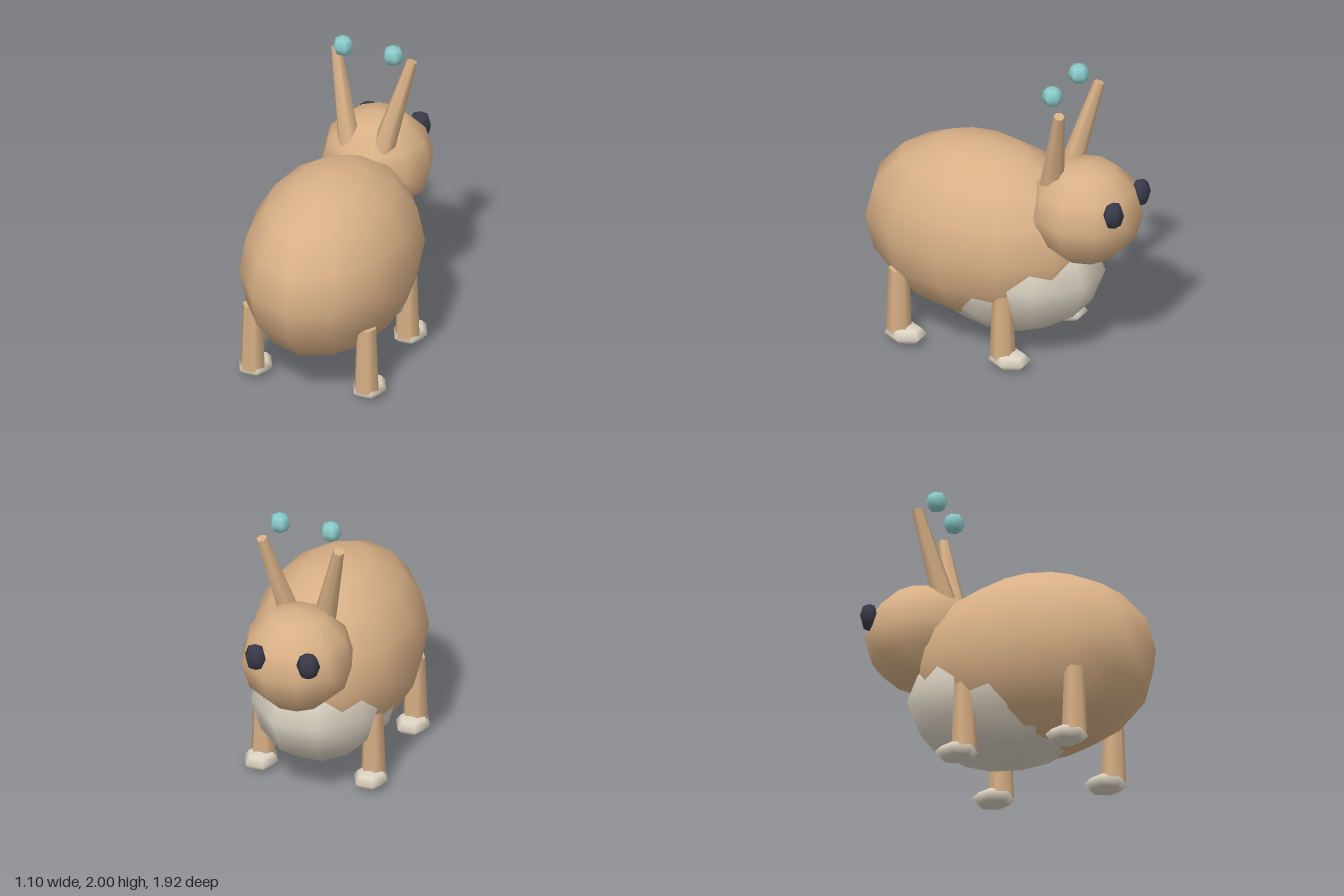
import * as THREE from 'three';

const material = (name, color) => {
  const m = new THREE.MeshStandardMaterial({ color });
  m.name = name;
  return m;
};

export function createModel() {
  const group = new THREE.Group();
  const tan = material('tan fur', 0xd8b086);
  const cream = material('cream', 0xdcd3c2);
  const dark = material('dark eye', 0x3a3a4a);
  const teal = material('teal glow', 0x8accca);

  // Coarse smooth-shaded ellipsoid
  const ellipsoid = (name, mat, pos, size, widthSegs, heightSegs, yaw = 0) => {
    const geo = new THREE.SphereGeometry(1, widthSegs, heightSegs);
    const mesh = new THREE.Mesh(geo, mat);
    mesh.name = name;
    mesh.position.set(...pos);
    mesh.scale.set(...size);
    mesh.rotation.y = yaw;
    group.add(mesh);
  };

  // Six-sided tapered rod from a to b
  const rod = (name, mat, a, b, rA, rB) => {
    const start = new THREE.Vector3(...a), end = new THREE.Vector3(...b);
    const dir = end.clone().sub(start);
    const geo = new THREE.CylinderGeometry(rB, rA, dir.length(), 6);
    geo.rotateY(Math.PI / 2);
    const mesh = new THREE.Mesh(geo, mat);
    mesh.name = name;
    mesh.position.copy(start).add(end).multiplyScalar(0.5);
    mesh.quaternion.setFromUnitVectors(new THREE.Vector3(0, 1, 0), dir.normalize());
    group.add(mesh);
  };

  // Body, belly patch and head
  ellipsoid('body', tan, [0, 0.76, 0.16], [0.55, 0.61, 0.795], 12, 8);
  ellipsoid('belly', cream, [0, 0.57, -0.02], [0.47, 0.465, 0.678], 10, 6);
  ellipsoid('head', tan, [0, 1.065, -0.608], [0.367, 0.345, 0.367], 10, 6);

  for (const [side, s] of [['left', 1], ['right', -1]]) {
    // Eyes, horns and the floating bulbs
    ellipsoid(side + 'Eye', dark, [s * 0.177, 1.187, -0.905], [0.077, 0.095, 0.062], 6, 4, -s * 0.2);
    rod(side + 'Horn', tan, [s * 0.113, 1.245, -0.42], [s * 0.26, 1.852, -0.555], 0.077, 0.036);
    ellipsoid(side + 'Bulb', teal, [s * 0.172, 1.93, -0.455], [0.07, 0.07, 0.07], 6, 4);

    // Legs and feet
    for (const [end, x, z] of [['Front', 0.37, -0.205], ['Rear', 0.39, 0.54]]) {
      rod(side + end + 'Leg', tan, [s * x, 0.06, z], [s * x, 0.52, z], 0.083, 0.066);
      ellipsoid(side + end + 'Foot', cream, [s * x, 0.06, z - 0.05], [0.115, 0.058, 0.145], 6, 4);
    }
  }
  return group;
}
